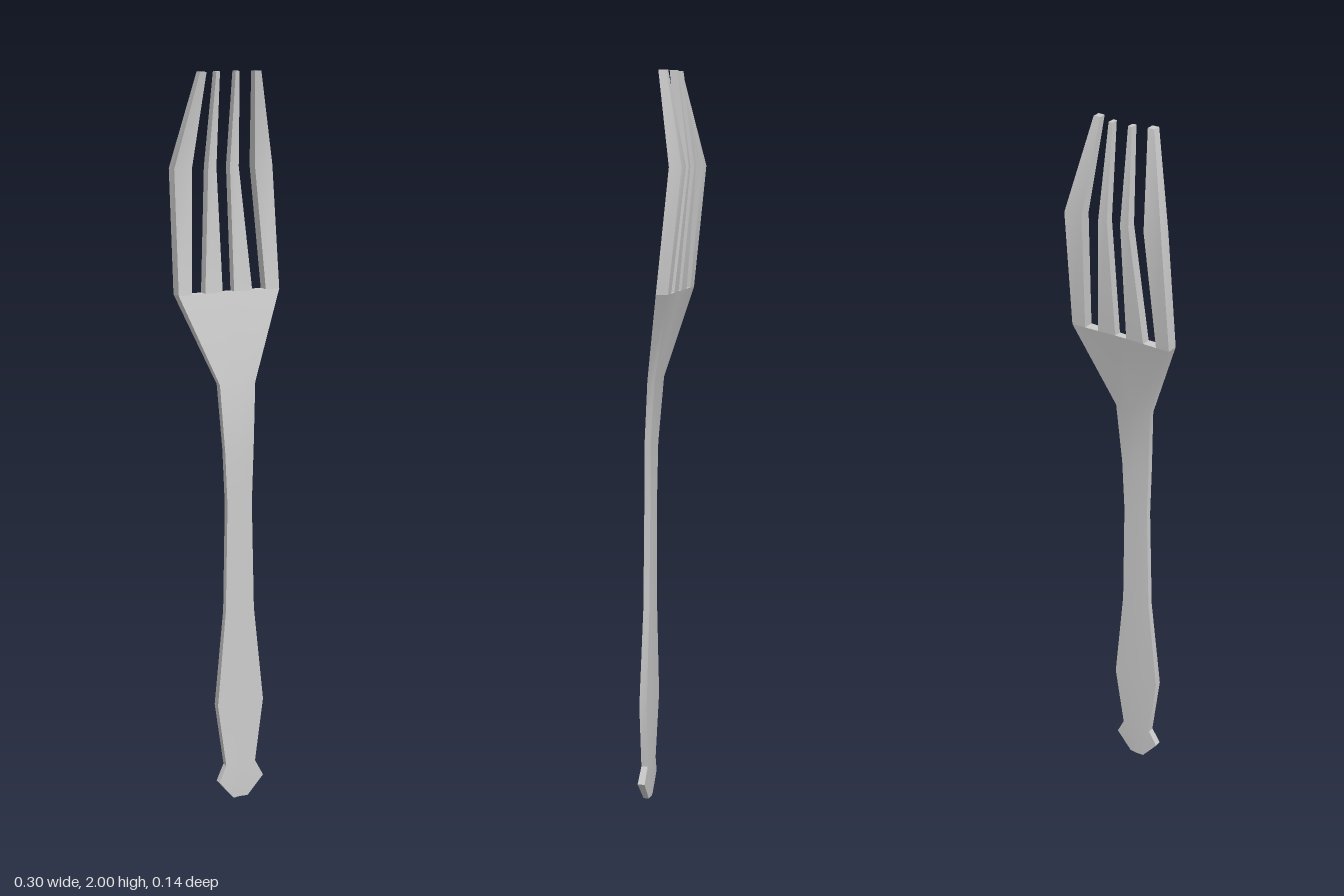
import * as THREE from 'three';
import { toCreasedNormals } from 'three/addons/utils/BufferGeometryUtils.js';

const NECK_Y = 1.42;
const material = new THREE.MeshStandardMaterial({ color: 0xcccccc });

// Column of the slightly dished plate where the tines begin: [x, front z, back z]
const plate = (x) => {
  const t = Math.abs(x) / 0.15;
  return [x, -0.012 + 0.008 * t, -0.033 - 0.004 * t];
};

// Flat strip facing up, between the front and back points of neighbouring columns
function capIndices(n, base, up) {
  const out = [];
  for (let k = 0; k < n - 1; k++) {
    const a = base + k, b = a + 1, d = base + 2 * n - 1 - k, c = d - 1;
    out.push(...(up ? [a, b, c, a, c, d] : [a, c, b, a, d, c]));
  }
  return out;
}

// Skin over sections { y, cols: [[x, front z, back z], ...] }, listed from bottom to top
function loft(name, sections, bottom, top) {
  const n = sections[0].cols.length, ring = 2 * n;
  const positions = [], index = [];
  for (const { y, cols } of sections) {
    for (const [x, zf] of cols) positions.push(x, y, zf);
    for (const [x, , zb] of [...cols].reverse()) positions.push(x, y, zb);
  }
  for (let i = 0; i < sections.length - 1; i++) {
    for (let j = 0; j < ring; j++) {
      const a = i * ring + j, b = i * ring + (j + 1) % ring;
      index.push(a, b, b + ring, a, b + ring, a + ring);
    }
  }
  if (bottom) index.push(...capIndices(n, 0, false));
  if (top) index.push(...capIndices(n, (sections.length - 1) * ring, true));
  const geometry = new THREE.BufferGeometry();
  geometry.setAttribute('position', new THREE.Float32BufferAttribute(positions, 3));
  geometry.setIndex(index);
  const mesh = new THREE.Mesh(toCreasedNormals(geometry, 0.6), material);
  mesh.name = name;
  return mesh;
}

export function createModel() {
  const group = new THREE.Group();
  group.name = 'fork';

  // Handle and widening head: y, half width, edge front/back z, centre front/back z
  const handle = [
    [0, 0.022, 0.065, 0.05, 0.063, 0.048],
    [0.055, 0.068, 0.07, 0.05, 0.064, 0.046],
    [0.1, 0.045, 0.065, 0.047, 0.064, 0.044],
    [0.28, 0.07, 0.064, 0.043, 0.062, 0.041],
    [0.55, 0.043, 0.059, 0.042, 0.059, 0.04],
    [0.85, 0.037, 0.057, 0.04, 0.057, 0.039],
    [1.0, 0.043, 0.055, 0.038, 0.055, 0.037],
    [1.18, 0.053, 0.044, 0.024, 0.04, 0.018],
  ].map(([y, w, ef, eb, cf, cb]) => ({ y, cols: [[-w, ef, eb], [0, cf, cb], [w, ef, eb]] }));
  handle.push({ y: NECK_Y, cols: [plate(-0.15), plate(0), plate(0.15)] });
  group.add(loft('handle', handle, true, false));

  // Floors of the three slots
  for (const xs of [[-0.11, -0.07], [-0.017, 0, 0.017], [0.07, 0.11]]) {
    group.add(loft('slotFloor', [{ y: NECK_Y, cols: xs.map(plate) }], false, true));
  }

  // Tines, mirrored: a bend at y 1.75 and a narrow tip
  const outer = [
    { y: NECK_Y, cols: [plate(0.11), plate(0.15)] },
    { y: 1.75, cols: [[0.093, -0.039, -0.071], [0.145, -0.038, -0.072]] },
    { y: 2, cols: [[0.07, 0.003, -0.018], [0.089, 0.004, -0.018]] },
  ];
  const inner = [
    { y: NECK_Y, cols: [plate(0.017), plate(0.07)] },
    { y: 1.75, cols: [[0.02, -0.042, -0.066], [0.045, -0.04, -0.067]] },
    { y: 2, cols: [[0.023, -0.014, -0.034], [0.034, -0.013, -0.034]] },
  ];
  const mirrored = (sections) => sections.map(({ y, cols }) => ({
    y, cols: cols.map(([x, f, b]) => [-x, f, b]).reverse(),
  }));
  for (const [name, sections] of [['OuterTine', outer], ['InnerTine', inner]]) {
    group.add(loft('left' + name, sections, false, true));
    group.add(loft('right' + name, mirrored(sections), false, true));
  }
  return group;
}
